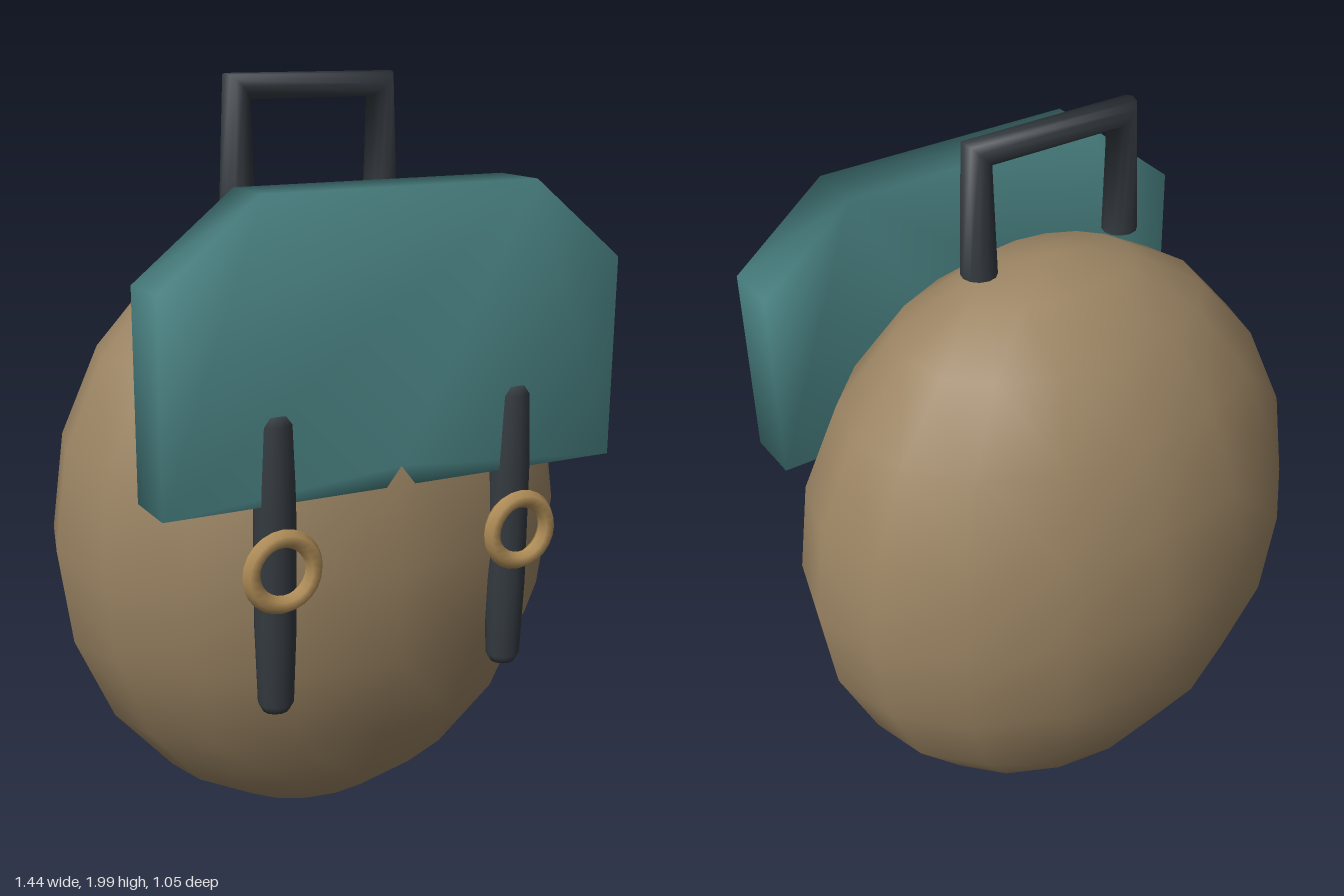
import * as THREE from 'three';
import { mergeVertices } from 'three/addons/utils/BufferGeometryUtils.js';

function mat(name, color) {
  const m = new THREE.MeshStandardMaterial({ color });
  m.name = name;
  return m;
}

// Curve through corner points, with the rings mitred at each corner
class MitredPath extends THREE.Curve {
  constructor(points) {
    super();
    this.points = points;
  }
  index(u) {
    return Math.round(u * (this.points.length - 1));
  }
  getPointAt(u, target = new THREE.Vector3()) {
    return target.copy(this.points[this.index(u)]);
  }
  getTangentAt(u, target = new THREE.Vector3()) {
    const i = this.index(u), p = this.points;
    target.set(0, 0, 0);
    if (i > 0) target.add(p[i].clone().sub(p[i - 1]).normalize());
    if (i < p.length - 1) target.add(p[i + 1].clone().sub(p[i]).normalize());
    return target.normalize();
  }
}

export function createModel() {
  const model = new THREE.Group();
  model.name = 'backpack';
  const canvas = mat('tan canvas', 0x9b8463);
  const teal = mat('teal flap', 0x4f8a8b);
  const leather = mat('dark leather', 0x343a40);
  const brass = mat('brass', 0xb08d57);

  const add = (name, geometry, material, x = 0, y = 0, z = 0) => {
    const mesh = new THREE.Mesh(geometry, material);
    mesh.name = name;
    mesh.position.set(x, y, z);
    model.add(mesh);
    return mesh;
  };

  // Rounded bag body
  const body = new THREE.SphereGeometry(1, 16, 10).scale(0.72, 0.825, 0.515);
  add('body', body, canvas, 0, 0.83, -0.01);

  // Front flap: chamfered top corners, small notch below, softly shaded
  const outline = [
    [-0.62, 1.04], [-0.04, 1.04], [0, 1.09], [0.04, 1.04], [0.62, 1.04],
    [0.62, 1.555], [0.365, 1.76], [-0.365, 1.76], [-0.62, 1.555],
  ].map(([x, y]) => new THREE.Vector2(x, y));
  let flap = new THREE.ExtrudeGeometry(new THREE.Shape(outline), { depth: 0.155, bevelEnabled: false });
  flap.deleteAttribute('normal');
  flap.deleteAttribute('uv');
  flap = mergeVertices(flap);
  flap.clearGroups();
  flap.computeVertexNormals();
  add('flap', flap, teal, 0, 0, 0.325);

  // Carrying handle with closed ends
  const corners = [[0.207, 1.66], [0.204, 1.968], [-0.204, 1.968], [-0.207, 1.66]]
    .map(([x, y]) => new THREE.Vector3(x, y, -0.01));
  add('handle', new THREE.TubeGeometry(new MitredPath(corners), 3, 0.045, 12), leather);

  // Paired handle ends, straps and buckle rings
  const strapProfile = [
    [0, 0], [0.033, 0.004], [0.045, 0.025], [0.052, 0.22], [0.052, 0.53],
    [0.045, 0.725], [0.033, 0.746], [0, 0.75],
  ].map(([r, y]) => new THREE.Vector2(r, y));
  for (const [side, s] of [['left', 1], ['right', -1]]) {
    const end = new THREE.CircleGeometry(0.045, 12).rotateX(Math.PI / 2);
    add(side + 'HandleEnd', end, leather, s * 0.207, 1.66, -0.01);
    const strap = new THREE.LatheGeometry(strapProfile, 12).scale(1, 1, 0.92);
    add(side + 'Strap', strap, leather, s * 0.33, 0.505, 0.457);
    add(side + 'BuckleRing', new THREE.TorusGeometry(0.082, 0.023, 6, 24), brass, s * 0.333, 0.883, 0.507);
  }
  return model;
}
